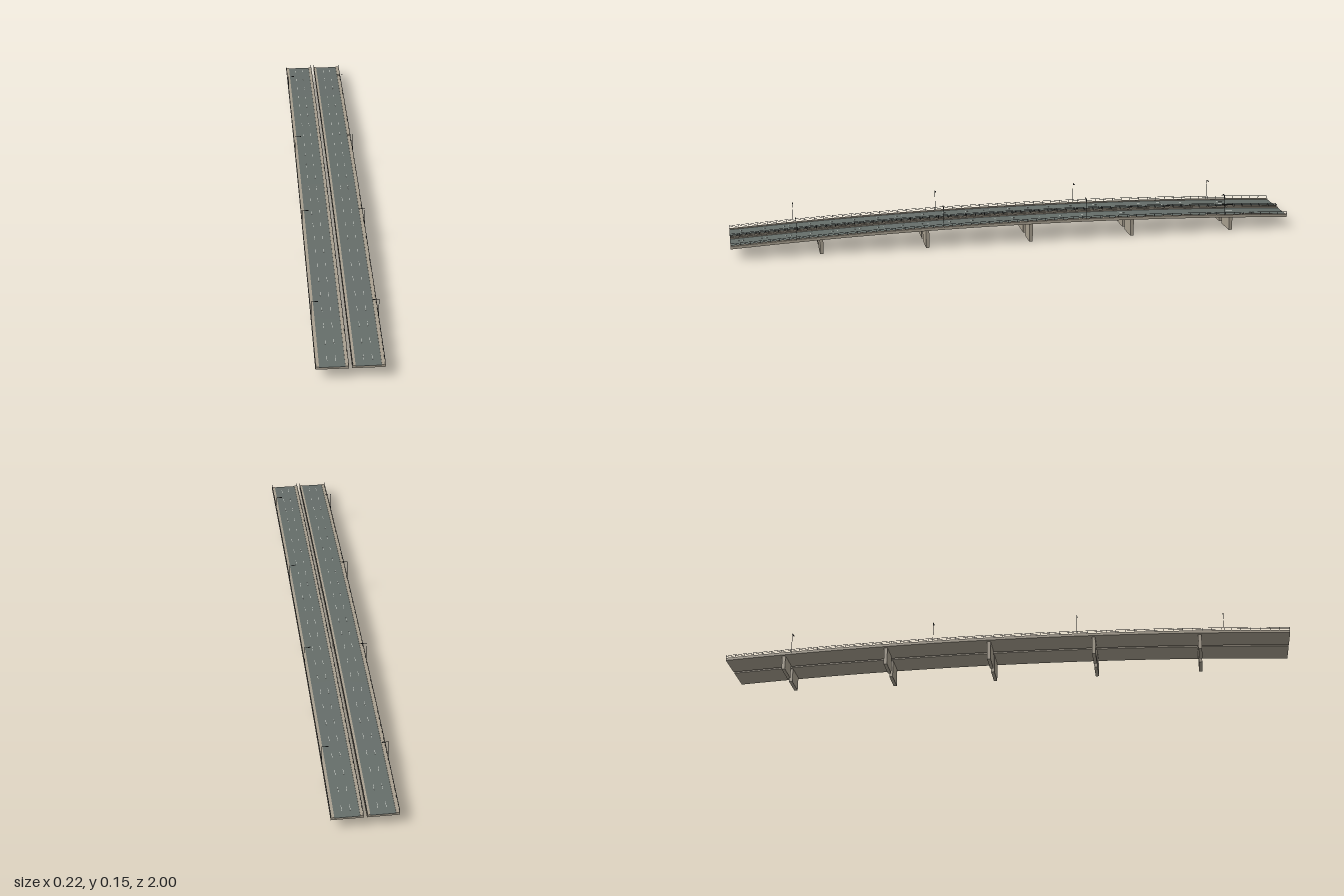
import * as THREE from 'three';
import { mergeGeometries } from 'three/addons/utils/BufferGeometryUtils.js';

const material = (name, color) => {
  const m = new THREE.MeshStandardMaterial({ color });
  m.name = name;
  return m;
};

// Height of the road surface along the gently arched bridge
const roadY = (z) => 0.0755 - 0.0285 * z * z;

// Box from x0..x1, y0..y1 (relative to the road) and z0..z1, bent to the arch
function bentBox(x0, x1, y0, y1, z0 = -1, z1 = 1) {
  const segments = Math.max(1, Math.round((z1 - z0) * 20));
  const g = new THREE.BoxGeometry(x1 - x0, y1 - y0, z1 - z0, 1, 1, segments);
  g.translate((x0 + x1) / 2, (y0 + y1) / 2, (z0 + z1) / 2);
  const p = g.attributes.position;
  for (let i = 0; i < p.count; i++) p.setY(i, p.getY(i) + roadY(p.getZ(i)));
  g.computeVertexNormals();
  return g;
}

// Plain box given by its limits
function box(x0, x1, y0, y1, z0, z1) {
  return new THREE.BoxGeometry(x1 - x0, y1 - y0, z1 - z0)
    .translate((x0 + x1) / 2, (y0 + y1) / 2, (z0 + z1) / 2);
}

export function createModel() {
  const concrete = material('concrete', 0xa89f8f);
  const asphalt = material('asphalt', 0x656d69);
  const paint = material('lane paint', 0xd8dad4);
  const steel = material('dark steel', 0x3c3f3f);

  const model = new THREE.Group();
  model.name = 'twinRoadBridge';

  // One carriageway; side = +1 for the left, -1 for the right
  function carriageway(side) {
    const group = new THREE.Group();
    group.name = side > 0 ? 'leftCarriageway' : 'rightCarriageway';
    const add = (name, geometries, mat) => {
      const g = mergeGeometries(geometries);
      if (side < 0) {
        // mirror across x and restore the corner order
        g.scale(-1, 1, 1);
        const ix = g.index;
        for (let i = 0; i < ix.count; i += 3) {
          const a = ix.getX(i);
          ix.setX(i, ix.getX(i + 2));
          ix.setX(i + 2, a);
        }
        g.computeVertexNormals();
      }
      const mesh = new THREE.Mesh(g, mat);
      mesh.name = name;
      group.add(mesh);
    };

    // Deck slab, road surface and raised kerbs
    add('deck', [bentBox(0.005, 0.108, -0.0075, -0.0008)], concrete);
    add('road', [bentBox(0.015, 0.097, -0.0008, 0)], asphalt);
    add('kerbs', [
      bentBox(0.005, 0.0155, -0.0008, 0.0025),
      bentBox(0.0965, 0.108, -0.0008, 0.0025),
    ], concrete);

    // Dashed lane lines
    const dashes = [];
    for (const x of [0.043, 0.07]) {
      for (let i = 0; i < 25; i++) {
        const z = -0.96 + i * 0.08;
        dashes.push(bentBox(x - 0.0006, x + 0.0006, 0, 0.0003, z - 0.012, z + 0.012));
      }
    }
    add('laneDashes', dashes, paint);

    // Railings along both edges: two rails on evenly spaced posts
    for (const [name, x] of [['innerRailing', 0.0062], ['outerRailing', 0.107]]) {
      const parts = [
        bentBox(x - 0.0006, x + 0.0006, 0.0115, 0.0125),
        bentBox(x - 0.0004, x + 0.0004, 0.0068, 0.0075),
      ];
      for (let i = 0; i <= 60; i++) {
        const z = -0.999 + i * 1.998 / 60;
        const y = roadY(z);
        parts.push(box(x - 0.0006, x + 0.0006, y + 0.002, y + 0.012, z - 0.0008, z + 0.0008));
      }
      add(name, parts, steel);
    }

    // Wall piers reaching up into the slab
    const piers = [];
    for (let i = 0; i < 5; i++) {
      const z = 0.69 - i * 0.37;
      piers.push(box(0.0145, 0.0975, 0, roadY(z) - 0.005, z - 0.006, z + 0.006));
    }
    add('piers', piers, concrete);

    // Street lamps with an arm and flat head over the road
    const lamps = [];
    for (let i = 0; i < 4; i++) {
      const z = 0.775 - i * 0.512;
      const y = roadY(z), top = y + 0.075;
      lamps.push(
        box(0.1068, 0.1082, y, top, z - 0.0007, z + 0.0007),
        box(0.094, 0.1082, top - 0.001, top, z - 0.0006, z + 0.0006),
        box(0.086, 0.096, top - 0.0015, top + 0.0005, z - 0.0015, z + 0.0015),
      );
    }
    add('streetLamps', lamps, steel);
    return group;
  }

  model.add(carriageway(1), carriageway(-1));
  return model;
}
